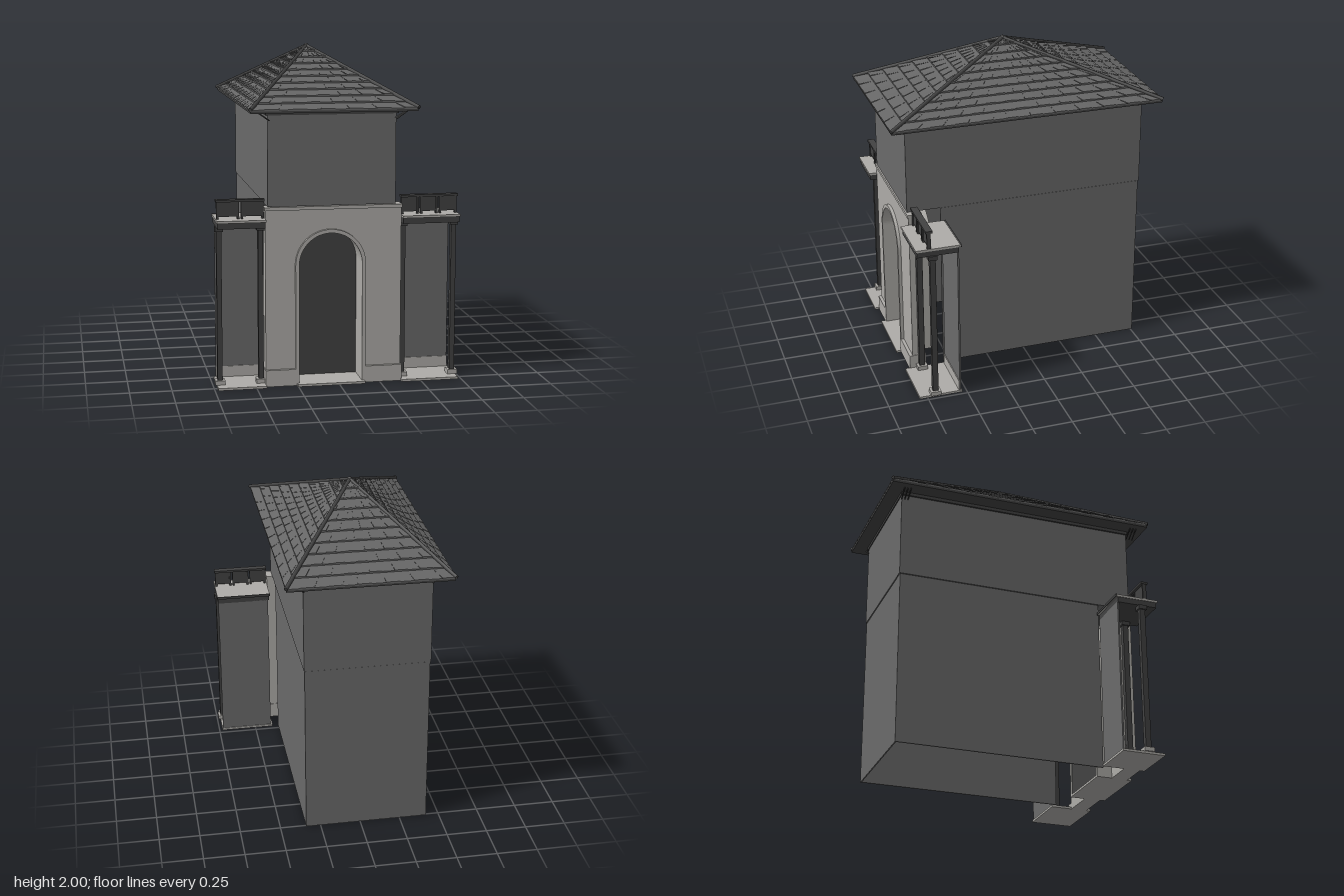
import * as THREE from 'three';

const mat = (name, color, side = THREE.FrontSide) => {
  const m = new THREE.MeshStandardMaterial({ color, side });
  m.name = name;
  return m;
};

export function createModel() {
  const model = new THREE.Group();
  model.name = 'gatehouse';
  const wall = mat('wall grey', 0x6a6a6a, THREE.DoubleSide);
  const stone = mat('pale stone', 0xaeaca8);
  const dark = mat('dark metal', 0x424242);
  const tile = mat('roof slate', 0x666666, THREE.DoubleSide);

  const add = (name, geo, material, parent = model) => {
    const m = new THREE.Mesh(geo, material);
    m.name = name;
    parent.add(m);
    return m;
  };
  // Box given by its lower and upper limits on each axis
  const box = (name, material, x0, x1, y0, y1, z0, z1, parent) => {
    const g = new THREE.BoxGeometry(x1 - x0, y1 - y0, z1 - z0);
    g.translate((x0 + x1) / 2, (y0 + y1) / 2, (z0 + z1) / 2);
    return add(name, g, material, parent);
  };
  // Round bar between two points
  const bar = (name, material, a, b, r, parent) => {
    const d = b.clone().sub(a);
    const m = add(name, new THREE.CylinderGeometry(r, r, d.length(), 8), material, parent);
    m.position.copy(a).addScaledVector(d, 0.5);
    m.quaternion.setFromUnitVectors(new THREE.Vector3(0, 1, 0), d.normalize());
    return m;
  };
  const extrude = (name, shape, z0, z1, material) => {
    const g = new THREE.ExtrudeGeometry(shape, { depth: z1 - z0, bevelEnabled: false, curveSegments: 24 });
    g.translate(0, 0, z0);
    return add(name, g, material);
  };

  // Lower hall: thin shell open at the bottom and front
  const t = 0.008;
  box('hallRightWall', wall, -0.42, -0.42 + t, 0, 1.08, -0.76, 0.54);
  box('hallLeftWall', wall, 0.34 - t, 0.34, 0, 1.08, -0.76, 0.54);
  box('hallBackWall', wall, -0.42, 0.34, 0, 1.08, -0.76, -0.76 + t);

  // Upper storey
  box('upperStorey', wall, -0.424, 0.344, 1.083, 1.625, -0.765, 0.75);
  box('wallPlate', dark, -0.435, 0.357, 1.622, 1.642, -0.77, 0.757);

  // Arched outline, and the wall and mouldings cut by it
  const cx = -0.05, spring = 0.73;
  const arch = (path, r, y0) => {
    path.moveTo(cx - r, y0);
    path.lineTo(cx + r, y0);
    path.lineTo(cx + r, spring);
    path.absarc(cx, spring, r, 0, Math.PI, false);
    path.lineTo(cx - r, y0);
    return path;
  };
  // Outline of a band that follows the arch and is open at the foot
  const archBand = (r, w, y0) => {
    const s = new THREE.Shape();
    s.moveTo(cx + r, y0);
    s.lineTo(cx + r + w, y0);
    s.lineTo(cx + r + w, spring);
    s.absarc(cx, spring, r + w, 0, Math.PI, false);
    s.lineTo(cx - r - w, y0);
    s.lineTo(cx - r, y0);
    s.lineTo(cx - r, spring);
    s.absarc(cx, spring, r, Math.PI, 0, true);
    s.lineTo(cx + r, y0);
    return s;
  };
  const front = new THREE.Shape();
  front.moveTo(-0.44, 0);
  front.lineTo(cx - 0.2, 0);
  front.lineTo(cx - 0.2, spring);
  front.absarc(cx, spring, 0.2, Math.PI, 0, true);
  front.lineTo(cx + 0.2, 0);
  front.lineTo(0.38, 0);
  front.lineTo(0.38, 1.08);
  front.lineTo(-0.44, 1.08);
  extrude('facade', front, 0.67, 0.75, stone);
  extrude('archSurround', archBand(0.19, 0.022, 0), 0.57, 0.77, stone);
  extrude('archVault', archBand(0.19, 0.02, spring), 0.55, 0.571, stone);
  extrude('door', arch(new THREE.Shape(), 0.19, 0.012), 0.575, 0.583, dark);
  box('facadeCornice', stone, -0.444, 0.384, 1.06, 1.08, 0.666, 0.758);
  box('rightPlinth', stone, -0.444, cx - 0.2, 0, 0.1, 0.666, 0.77);
  box('leftPlinth', stone, cx + 0.2, 0.384, 0, 0.1, 0.666, 0.77);
  box('doorStep', stone, -0.255, 0.155, 0, 0.014, 0.57, 0.8);

  // Side porches with posts, deck and railing
  const porch = (name, x0, x1, posts, panels) => {
    const g = new THREE.Group();
    g.name = name;
    model.add(g);
    box('porchFloor', stone, x0, x1, 0, 0.014, 0.53, 0.8, g);
    box('porchBackWall', wall, x0 + 0.012, x1 - 0.005, 0.014, 0.97, 0.535, 0.545, g);
    box('skirting', stone, x0 + 0.012, x1 - 0.005, 0.014, 0.08, 0.545, 0.55, g);
    for (const x of posts) {
      box('postBase', stone, x - 0.03, x + 0.03, 0.014, 0.04, 0.665, 0.73, g);
      box('post', dark, x - 0.015, x + 0.015, 0.04, 0.95, 0.68, 0.715, g);
      box('postCapital', dark, x - 0.024, x + 0.024, 0.94, 0.967, 0.67, 0.725, g);
    }
    box('deckBeam', dark, x0 + 0.004, x1 - 0.004, 0.965, 1.0, 0.535, 0.792, g);
    box('deckTop', stone, x0, x1, 1.0, 1.014, 0.525, 0.8, g);
    box('deckBackEdge', dark, x0, x1, 1.0, 1.016, 0.52, 0.528, g);
    const w = (x1 - x0) / panels;
    for (let i = 0; i < panels; i++) {
      const a = x0 + i * w + 0.005, b = x0 + (i + 1) * w - 0.005;
      box('railPanel', dark, a, b, 1.028, 1.118, 0.712, 0.724, g);
      for (const x of [a, b - 0.012]) box('railPost', dark, x, x + 0.012, 1.014, 1.118, 0.706, 0.73, g);
    }
    box('handRail', dark, x0, x1, 1.116, 1.13, 0.695, 0.738, g);
  };
  porch('rightPorch', -0.73, -0.44, [-0.71, -0.463], 2);
  porch('leftPorch', 0.38, 0.73, [0.4, 0.713], 3);

  // Hipped roof of stepped courses, each split into tiles that taper to the peak
  const apex = new THREE.Vector3(-0.067, 1.985, 0.008);
  const corners = [[-0.538, 0.857], [0.456, 0.857], [0.456, -0.857], [-0.538, -0.857]]
    .map(([x, z]) => new THREE.Vector3(x, 1.655, z));
  const courses = 10, pos = [];
  const quad = (a, b, c, d) => [a, b, c, a, c, d].forEach((v) => pos.push(v.x, v.y, v.z));
  corners.forEach((c0, s) => {
    const c1 = corners[(s + 1) % 4];
    const tiles = s % 2 ? 22 : 12;
    const at = (u, v, lift) => {
      const p = c0.clone().lerp(c1, u).lerp(apex, v);
      p.y += lift;
      return p;
    };
    for (let i = 0; i < courses; i++) {
      for (let j = 0; j < tiles; j++) {
        const lift = 0.008 + ((i + j) % 2) * 0.003;
        const u0 = j / tiles, u1 = (j + 1) / tiles, v0 = i / courses, v1 = (i + 1) / courses;
        const a = at(u0, v0, lift), b = at(u1, v0, lift);
        quad(a, b, at(u1, v1, 0), at(u0, v1, 0));
        quad(at(u0, v0, 0), at(u1, v0, 0), b, a);
      }
    }
  });
  const roof = new THREE.BufferGeometry();
  roof.setAttribute('position', new THREE.Float32BufferAttribute(pos, 3));
  roof.computeVertexNormals();
  add('roofTiles', roof, tile);
  box('eaves', dark, -0.535, 0.453, 1.642, 1.66, -0.854, 0.854);
  corners.forEach((c) => {
    const lifted = c.clone().setY(1.664);
    bar('hipRidge', dark, lifted, apex, 0.012);
  });
  add('roofPeak', new THREE.SphereGeometry(0.015, 10, 8), dark).position.copy(apex);

  // Slanted eave struts at the corners
  for (const z of [0.755, 0.775, 0.795, -0.725, -0.745, -0.765]) {
    for (const [xa, xb] of [[-0.418, -0.49], [0.338, 0.41]]) {
      bar('eaveStrut', dark, new THREE.Vector3(xa, 1.595, z), new THREE.Vector3(xb, 1.645, z), 0.004);
    }
  }
  return model;
}
